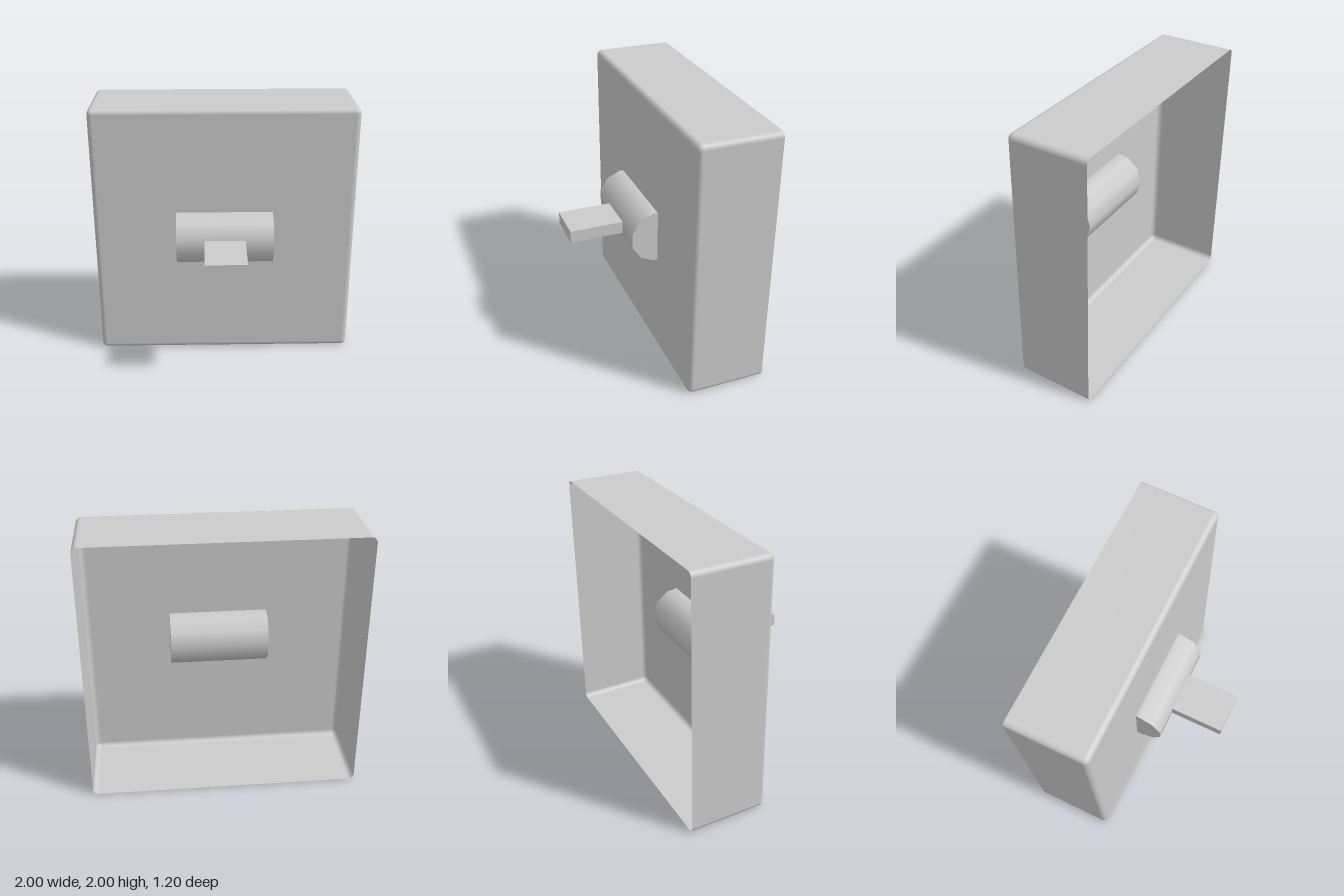
import * as THREE from 'three';

// Open-backed square shell: rounded-square sections from the rim to the front face
function shellGeometry(half, depth, r, steps) {
  const core = half - r;
  const rings = [[-depth, 0]];
  for (let i = 0; i <= steps; i++) {
    const a = (i / steps) * Math.PI / 2;
    rings.push([-r + r * Math.sin(a), a]);
  }
  const pos = [], nor = [], idx = [];
  const count = 4 * (steps + 1);
  for (const [z, a] of rings) {
    for (let c = 0; c < 4; c++) {
      const sx = c === 0 || c === 3 ? 1 : -1;
      const sy = c < 2 ? 1 : -1;
      for (let k = 0; k <= steps; k++) {
        const p = (c + k / steps) * Math.PI / 2;
        const nx = Math.cos(p) * Math.cos(a), ny = Math.sin(p) * Math.cos(a);
        pos.push(sx * core + r * nx, sy * core + r * ny, z);
        nor.push(nx, ny, Math.sin(a));
      }
    }
  }
  for (let j = 0; j < rings.length - 1; j++) {
    for (let i = 0; i < count; i++) {
      const a = j * count + i, b = j * count + (i + 1) % count;
      idx.push(a, b, b + count, a, b + count, a + count);
    }
  }
  // flat front face between the four corners
  const [p, q, s, t] = [0, 1, 2, 3].map(c => (rings.length - 1) * count + c * (steps + 1));
  idx.push(p, q, s, p, s, t);
  const geo = new THREE.BufferGeometry();
  geo.setAttribute('position', new THREE.Float32BufferAttribute(pos, 3));
  geo.setAttribute('normal', new THREE.Float32BufferAttribute(nor, 3));
  geo.setIndex(idx);
  return geo;
}

export function createModel() {
  const group = new THREE.Group();
  const solid = new THREE.MeshStandardMaterial({ color: 0xcccccc });
  const thin = new THREE.MeshStandardMaterial({ color: 0xcccccc, side: THREE.DoubleSide });

  const add = (name, geo, mat, y, z) => {
    const mesh = new THREE.Mesh(geo, mat);
    mesh.name = name;
    mesh.position.set(0, y, z);
    group.add(mesh);
  };

  add('housing', shellGeometry(1, 0.6, 0.04, 4), thin, 1, 0);

  // eleven-sided pivot through the front face, one flat facing forward
  const barrel = new THREE.CylinderGeometry(0.204, 0.204, 0.734, 11, 1, false, Math.PI / 11);
  barrel.rotateZ(Math.PI / 2);
  add('pivotBarrel', barrel, solid, 1, 0);

  // flat lever sticking out of the pivot
  add('lever', new THREE.BoxGeometry(0.306, 0.094, 0.42), solid, 1.001, 0.39);

  return group;
}
